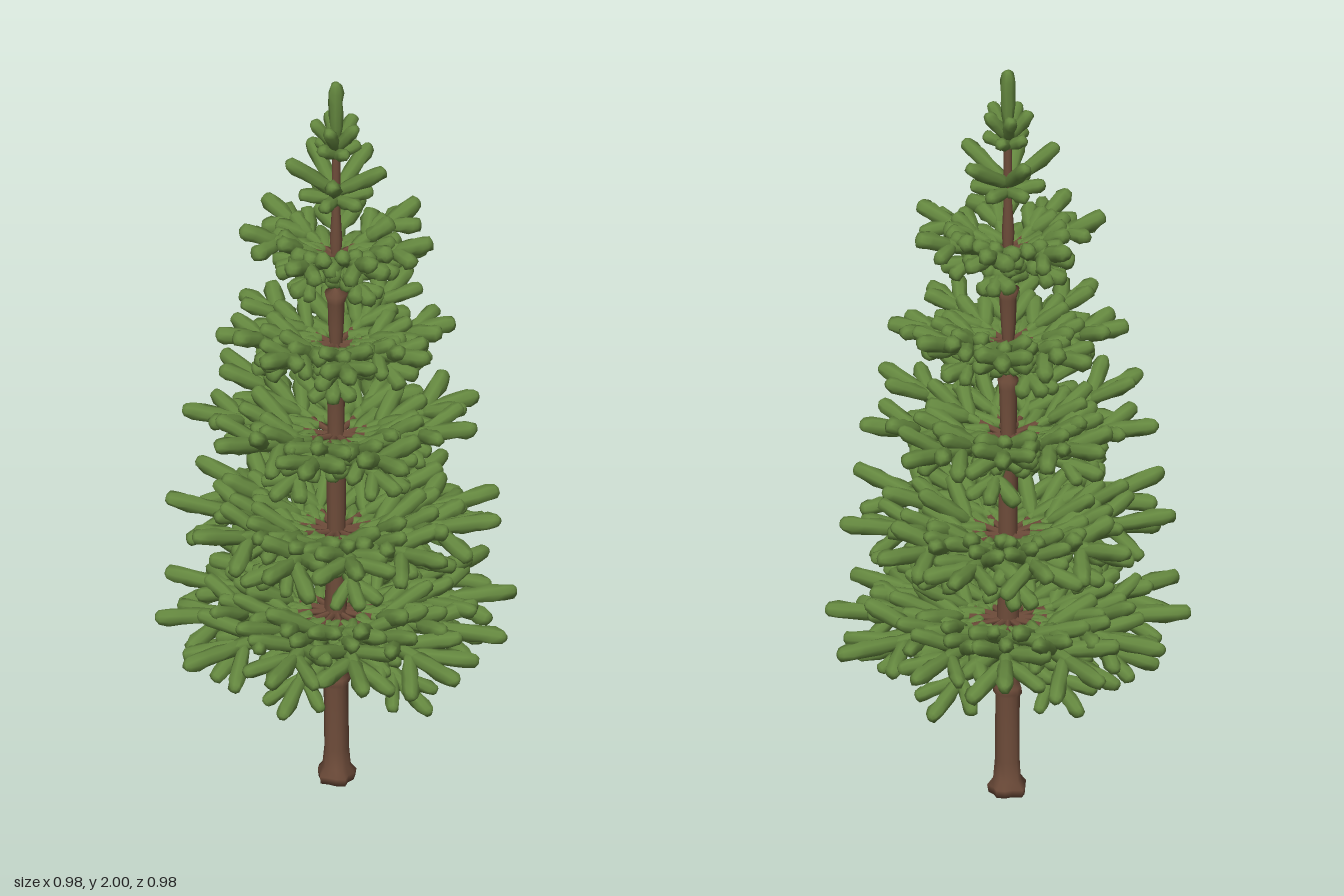
import * as THREE from 'three';
import { mergeGeometries, mergeVertices } from 'three/addons/utils/BufferGeometryUtils.js';

const needleGreen = new THREE.MeshStandardMaterial({ color: 0x64873f });
needleGreen.name = 'needle green';
const barkBrown = new THREE.MeshStandardMaterial({ color: 0x6e4c3a });
barkBrown.name = 'bark brown';

const DEG = Math.PI / 180;
const UP = new THREE.Vector3(0, 1, 0);
const V = (x, y, z) => new THREE.Vector3(x, y, z);

function seeded(seed) {
  return () => {
    seed = (seed * 16807) % 2147483647;
    return seed / 2147483647;
  };
}

// Lathe whose surface is pushed in and out by a smooth rule
function lumpyLathe(profile, sides, rule) {
  const lathe = new THREE.LatheGeometry(profile.map(([r, y]) => new THREE.Vector2(r, y)), sides);
  lathe.deleteAttribute('uv');
  lathe.deleteAttribute('normal');
  const geo = mergeVertices(lathe, 1e-5);
  const p = geo.attributes.position;
  for (let i = 0; i < p.count; i++) {
    const k = rule(Math.atan2(p.getZ(i), p.getX(i)), p.getY(i));
    p.setXYZ(i, p.getX(i) * k, p.getY(i), p.getZ(i) * k);
  }
  geo.computeVertexNormals();
  return geo;
}

// Unit needle clumps: radius 1, from y = 0 to y = 1
const clumpProfile = [[0, 0], [0.6, 0.03], [0.85, 0.2], [0.95, 0.42], [1, 0.65], [1, 0.82], [0.8, 0.95], [0.4, 0.995], [0, 1]];
const clumps = [0, 1, 2, 3, 4].map((n) => lumpyLathe(clumpProfile, 8,
  (a, y) => 1 + 0.12 * Math.sin(3 * a + n * 2 + y * 9) + 0.07 * Math.sin(2 * a - y * 17 + n)));

// Lays one clump from a point along a direction
function placeClump(list, start, dir, length, radius, rand) {
  const m = new THREE.Matrix4().compose(
    start,
    new THREE.Quaternion().setFromUnitVectors(UP, dir.clone().normalize()),
    V(radius, length, radius));
  list.push(clumps[Math.floor(rand() * clumps.length)].clone().applyMatrix4(m));
}

// Direction at an angle round the trunk, pitched up or down
const heading = (yaw, pitch) => V(Math.cos(yaw) * Math.cos(pitch), Math.sin(pitch), -Math.sin(yaw) * Math.cos(pitch));

// One branch: a spine with pairs of clumps fanning out from it
function addFrond(green, brown, y, yaw, length, rise, radius, pairs, rand) {
  const spine = (t) => V(Math.cos(yaw) * length * t, y + rise * Math.pow(t, 1.3), -Math.sin(yaw) * length * t);
  const stem = new THREE.LineCurve3(spine(0), spine(0.45));
  const stemGeo = new THREE.TubeGeometry(stem, 1, radius * 0.4, 5);
  brown.push(stemGeo);
  const tip = spine(1).sub(spine(0.6));
  placeClump(green, spine(0.6), tip, tip.length(), radius, rand);
  const mid = spine(0.72).sub(spine(0.2));
  placeClump(green, spine(0.2), mid, mid.length(), radius * 0.85, rand);
  for (let i = 0; i < pairs; i++) {
    const t = 0.14 + (0.46 * i) / Math.max(1, pairs - 1);
    for (const side of [-1, 1]) {
      const spread = side * (36 + rand() * 12) * DEG;
      const pitch = ((i % 2 ? 18 : -12) + (rand() - 0.5) * 20) * DEG + Math.atan2(rise, length) * 0.6;
      placeClump(green, spine(t), heading(yaw + spread, pitch),
        length * (0.29 + rand() * 0.06) + 0.008, radius * (0.85 + rand() * 0.2), rand);
    }
  }
  // a clump lifted over the spine
  placeClump(green, spine(0.35), heading(yaw, 20 * DEG + Math.atan2(rise, length)), length * 0.32, radius * 0.9, rand);
}

// Tiers: height, reach, rise, count, lower count, lower reach, lower drop
const tiers = [
  { y: 0.48, reach: 0.48, rise: 0.015, count: 12, under: 6, underReach: 0.38, drop: -0.1, pairs: 5 },
  { y: 0.71, reach: 0.44, rise: 0.08, count: 11, under: 6, underReach: 0.27, drop: -0.05, pairs: 5 },
  { y: 0.985, reach: 0.39, rise: 0.08, count: 9, under: 5, underReach: 0.27, drop: -0.03, pairs: 4 },
  { y: 1.245, reach: 0.31, rise: 0.075, count: 8, under: 5, underReach: 0.22, drop: -0.02, pairs: 4 },
  { y: 1.5, reach: 0.255, rise: 0.08, count: 7, under: 5, underReach: 0.17, drop: -0.02, pairs: 3 },
];

export function createModel() {
  const tree = new THREE.Group();
  tree.name = 'firTree';
  const rand = seeded(4711);
  const add = (parent, name, geo, mat) => {
    const mesh = new THREE.Mesh(geo, mat);
    mesh.name = name;
    parent.add(mesh);
  };

  // Trunk, stepping in above each whorl, with a lobed root flare
  const trunkProfile = [
    [0, 0], [0.045, 0], [0.047, 0.02], [0.035, 0.04], [0.031, 0.09], [0.03, 0.27], [0.036, 0.28], [0.034, 0.295],
    [0.027, 0.31], [0.028, 0.5], [0.023, 0.6], [0.025, 0.9], [0.026, 0.94], [0.02, 1], [0.023, 1.12],
    [0.027, 1.145], [0.011, 1.16], [0.012, 1.21], [0.019, 1.3], [0.022, 1.37], [0.03, 1.395], [0.008, 1.41],
    [0.009, 1.46], [0.016, 1.55], [0.011, 1.63], [0.011, 1.75], [0.008, 1.87], [0, 1.9]];
  add(tree, 'trunk', lumpyLathe(trunkProfile, 14, (a, y) =>
    1 + (y < 0.03 ? 0.14 : 0.05) * Math.sin(5 * a + y * 4) + 0.04 * Math.sin(3 * a - y * 23)), barkBrown);

  // Main tiers of branches
  tiers.forEach((tier, n) => {
    const green = [], brown = [];
    for (let i = 0; i < tier.count; i++) {
      const long = n > 0 ? 0.93 + rand() * 0.07 : i % 3 === 0 ? 1.02 : 0.96;
      const yaw = (i / tier.count) * 2 * Math.PI + n * 0.6;
      const rise = tier.rise + (rand() - 0.5) * (n ? 0.06 : 0.02);
      addFrond(green, brown, tier.y, yaw, tier.reach * long, rise, 0.022, tier.pairs, rand);
    }
    for (let i = 0; i < tier.under; i++) {
      const yaw = (i / tier.under) * 2 * Math.PI + n * 0.6;
      addFrond(green, brown, tier.y - 0.02, yaw, tier.underReach, tier.drop + (rand() - 0.5) * 0.03, 0.02, 3, rand);
    }
    const group = new THREE.Group();
    group.name = 'branchTier' + (n + 1);
    add(group, 'needles', mergeGeometries(green), needleGreen);
    add(group, 'stems', mergeGeometries(brown), barkBrown);
    tree.add(group);
  });

  // Crown: small rings of single clumps
  const crown = [];
  const rings = [
    { y: 1.665, count: 6, length: 0.1, pitch: 12, r: 0.018 },
    { y: 1.685, count: 5, length: 0.165, pitch: 36, r: 0.02 },
    { y: 1.79, count: 5, length: 0.07, pitch: 30, r: 0.016 },
    { y: 1.81, count: 5, length: 0.105, pitch: 52, r: 0.017 },
  ];
  rings.forEach((ring, n) => {
    for (let i = 0; i < ring.count; i++) {
      const yaw = (i / ring.count) * 2 * Math.PI + n * 0.5;
      placeClump(crown, V(0, ring.y, 0), heading(yaw, (ring.pitch + rand() * 8 - 4) * DEG),
        ring.length * (0.92 + rand() * 0.08), ring.r, rand);
    }
  });
  add(tree, 'crownNeedles', mergeGeometries(crown), needleGreen);

  // Leading shoot
  const leader = [];
  placeClump(leader, V(0, 1.84, 0), UP, 0.16, 0.019, rand);
  add(tree, 'leadingShoot', mergeGeometries(leader), needleGreen);

  return tree;
}
